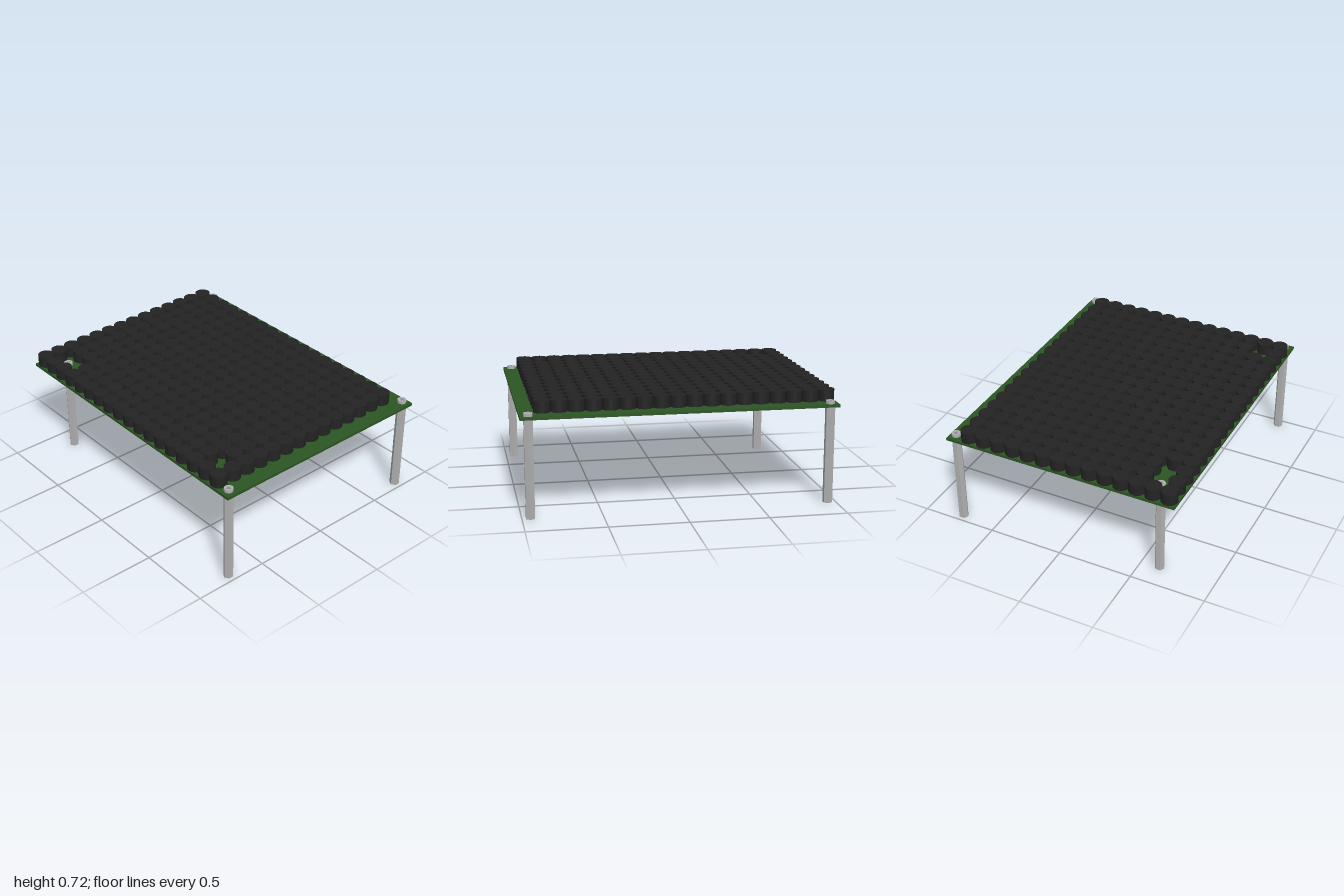
import * as THREE from 'three';

const mat = (name, color, flat = false) => {
  const m = new THREE.MeshStandardMaterial({ color, flatShading: flat });
  m.name = name;
  return m;
};

// Plus-shaped outline: four arms of the given reach and half width
function crossPoints(reach, half) {
  const pts = [];
  for (let i = 0; i < 4; i++) {
    const c = Math.round(Math.cos(i * Math.PI / 2)), s = Math.round(Math.sin(i * Math.PI / 2));
    for (const [x, y] of [[reach, -half], [reach, half], [half, half]]) {
      pts.push(new THREE.Vector2(x * c - y * s, x * s + y * c));
    }
  }
  return pts;
}

export function createModel() {
  const boardGreen = mat('board green', 0x2c5522);
  const canBlack = mat('can black', 0x232323);
  const steel = mat('steel', 0xb0b0b0, true);
  const recessGrey = mat('recess grey', 0x767676);

  const model = new THREE.Group();
  model.name = 'circuitBoardArray';
  const add = (parent, name, geometry, material, x, y, z) => {
    const mesh = new THREE.Mesh(geometry, material);
    mesh.name = name;
    mesh.position.set(x, y, z);
    parent.add(mesh);
    return mesh;
  };

  const boardBottom = 0.627, boardTop = 0.645;

  // Flat board
  add(model, 'board', new THREE.BoxGeometry(2, boardTop - boardBottom, 1.575),
    boardGreen, 0, (boardTop + boardBottom) / 2, -0.002);

  // Grid of round cans, leaving gaps around the inner mounting holes
  const cans = new THREE.Group();
  cans.name = 'cans';
  model.add(cans);
  const pitch = 0.106, canHeight = 0.075;
  const canGeometry = new THREE.CylinderGeometry(0.053, 0.053, canHeight, 32);
  const gaps = [1, 2, 16];
  for (let row = 0; row < 14; row++) {
    for (let col = 0; col < 18; col++) {
      if (row === 12 && gaps.includes(col)) continue;
      add(cans, 'can', canGeometry, canBlack,
        -0.947 + col * pitch, boardTop + canHeight / 2, -0.647 + row * pitch);
    }
  }

  // Hexagonal standoff legs, each with a cross-recessed screw on top
  const legGeometry = new THREE.CylinderGeometry(0.032, 0.032, boardBottom, 6);
  const headShape = new THREE.Shape().absarc(0, 0, 0.029, 0, Math.PI * 2, false);
  headShape.holes.push(new THREE.Path(crossPoints(0.018, 0.005).reverse()));
  const headGeometry = new THREE.ExtrudeGeometry(headShape,
    { depth: 0.02, bevelEnabled: false, curveSegments: 16 }).rotateX(-Math.PI / 2);
  const floorGeometry = new THREE.ShapeGeometry(new THREE.Shape(crossPoints(0.018, 0.005)))
    .rotateX(-Math.PI / 2);

  for (const [x, z] of [[-0.947, -0.748], [0.947, -0.748], [0.947, 0.733], [-0.841, 0.626]]) {
    const mount = new THREE.Group();
    mount.name = 'mount';
    mount.position.set(x, 0, z);
    model.add(mount);
    add(mount, 'standoffLeg', legGeometry, steel, 0, boardBottom / 2, 0);
    add(mount, 'screwHead', headGeometry, steel, 0, boardTop, 0);
    add(mount, 'screwRecess', floorGeometry, recessGrey, 0, boardTop + 0.01, 0);
  }

  return model;
}
